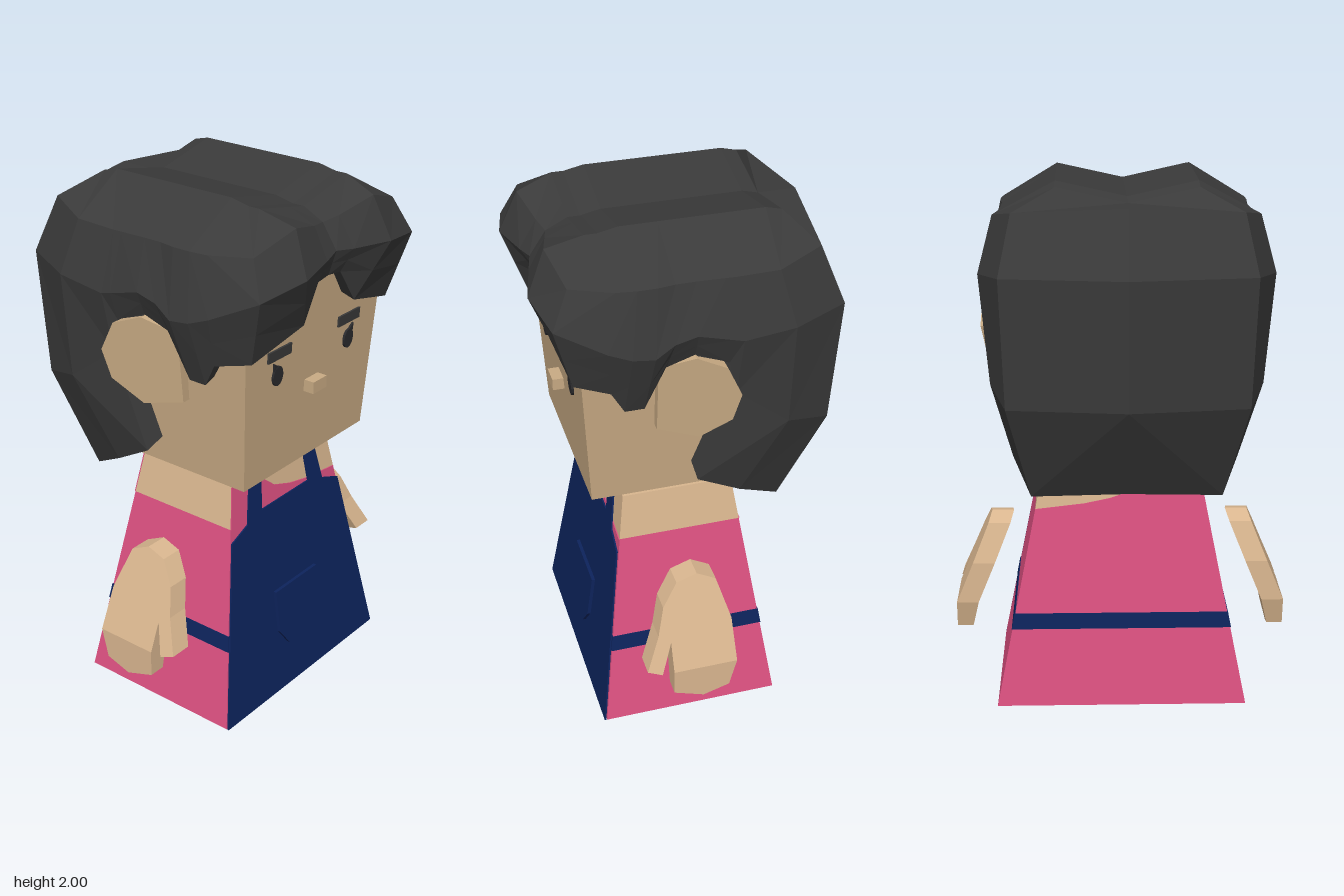
import * as THREE from 'three';

const mat = (name, color, side = THREE.FrontSide) => {
  const m = new THREE.MeshStandardMaterial({ color, flatShading: true, side });
  m.name = name;
  return m;
};
const lerp = THREE.MathUtils.lerp, clamp = THREE.MathUtils.clamp;

export function createModel() {
  const model = new THREE.Group();
  const faceSkin = mat('faceSkin', 0xc9ab84);
  const skin = mat('bodySkin', 0xd9b68f);
  const pink = mat('pinkDress', 0xdb5080);
  const navy = mat('navyApron', 0x0d235c);
  const hairMat = mat('darkHair', 0x3a3a3a, THREE.DoubleSide);
  const eyeMat = mat('eyeBlack', 0x2b2b2e);

  const add = (name, geo, material, parent = model) => {
    const mesh = new THREE.Mesh(geo, material);
    mesh.name = name;
    parent.add(mesh);
    return mesh;
  };
  const reshape = (geo, rule) => {
    const p = geo.attributes.position;
    for (let i = 0; i < p.count; i++) p.setXYZ(i, ...rule(p.getX(i), p.getY(i), p.getZ(i)));
    geo.computeVertexNormals();
    return geo;
  };
  const shapeOf = pts => new THREE.Shape(pts.map(p => new THREE.Vector2(...p)));
  const extrude = (shape, depth) =>
    new THREE.ExtrudeGeometry(shape, { depth, bevelEnabled: false, curveSegments: 6 });

  // Tapered cross-sections: half width, front z, back z at height y
  const bodyAt = y => ({ w: 0.475 - 0.2 * y, f: 0.39 - 0.137 * y, b: -0.29 + 0.147 * y });
  const headAt = y => ({ w: 0.36 + 0.067 * (y - 0.98), f: 0.39 + 0.058 * (y - 0.98), b: -0.28 });
  const taper = (at, y0, y1, grow = 0) =>
    reshape(new THREE.BoxGeometry(1, 1, 1), (x, y, z) => {
      const yy = y > 0 ? y1 : y0, s = at(yy);
      return [Math.sign(x) * (s.w + grow), yy, z > 0 ? s.f + grow : s.b - grow];
    });
  // Thin plates lying on the sloping front or back
  const frontPlate = (shape, at, off, depth) =>
    reshape(extrude(shape, depth), (x, y, z) => [x, y, at(y).f + off + z]);
  const backPlate = (shape, off, depth) =>
    reshape(extrude(shape, depth), (x, y, z) => [x, y, bodyAt(y).b - off - depth + z]);

  // Body and dress
  add('dress', taper(bodyAt, 0, 0.76), pink);
  add('shoulders', taper(bodyAt, 0.76, 0.93), skin);
  const neckline = shapeOf([[-0.323, 0.76], [-0.288, 0.94], [-0.13, 0.94], [-0.125, 0.89],
    [-0.05, 0.83], [0.04, 0.8], [0.14, 0.78], [0.323, 0.76]]);
  add('dressFrontShoulder', frontPlate(neckline, bodyAt, 0, 0.004), pink);
  add('dressBackShoulder', backPlate(neckline, 0, 0.004), pink);

  // Apron with straps, waistband and pocket
  const half = [[0.475, 0], [0.333, 0.71], [0.235, 0.745], [0.19, 0.95], [0.125, 0.95], [0.145, 0.77]];
  const apron = shapeOf([...half, ...half.map(([x, y]) => [-x, y]).reverse()]);
  add('apron', frontPlate(apron, bodyAt, 0.004, 0.006), navy);
  add('apronBand', taper(bodyAt, 0.3, 0.36, 0.003), navy);
  add('pocket', frontPlate(shapeOf([[-0.13, 0.42], [0.13, 0.42], [0.13, 0.25], [0.08, 0.18],
    [-0.08, 0.18], [-0.13, 0.25]]), bodyAt, 0.009, 0.014), navy);
  add('neckStrapBack', backPlate(shapeOf([[-0.19, 0.89], [0.19, 0.89], [0.19, 0.945], [-0.19, 0.945]]),
    0.005, 0.008), navy);
  for (const s of [1, -1]) {
    const strap = add('shoulderStrap', new THREE.BoxGeometry(0.065, 0.012, 0.42), navy);
    strap.position.set(s * 0.157, 0.937, 0.055);
  }

  // Side slabs: outline in (z, y), bent outward by a rule
  const slab = (pts, thick, out, s, narrow = () => 1) => {
    const g = extrude(shapeOf(pts), thick).rotateY(-Math.PI / 2);
    return reshape(g, (x, y, z) => [s * out(y, z) + (x + thick / 2) * narrow(y), y, z]);
  };

  // Arms with mitten hands
  const armPts = [[0.04, 0.68], [0.12, 0.66], [0.18, 0.58], [0.21, 0.48], [0.265, 0.36], [0.21, 0.34],
    [0.165, 0.45], [0.165, 0.34], [0.165, 0.24], [0.05, 0.2], [-0.05, 0.23], [-0.08, 0.34],
    [-0.075, 0.5], [-0.03, 0.65]];
  const armOut = y => y > 0.34 ? lerp(0.595, 0.455, (y - 0.34) / 0.34) : lerp(0.612, 0.595, (y - 0.2) / 0.14);
  const armNarrow = y => y < 0.34 ? lerp(0.65, 1, (y - 0.2) / 0.14) : 1;
  for (const s of [1, -1])
    add(s > 0 ? 'leftArm' : 'rightArm', slab(armPts, 0.085, armOut, s, armNarrow), skin);

  // Head, set slightly off the middle
  const head = new THREE.Group();
  head.name = 'head';
  head.position.x = -0.018;
  model.add(head);
  add('face', taper(headAt, 0.98, 1.8), faceSkin, head);
  add('nose', new THREE.BoxGeometry(0.08, 0.045, 0.06), faceSkin, head).position.set(0, 1.283, 0.42);
  const earPts = [[0.16, 1.28], [0.16, 1.49], [0.13, 1.56], [0.04, 1.595], [-0.06, 1.56], [-0.11, 1.45],
    [-0.085, 1.34], [0.02, 1.255]];
  for (const s of [1, -1]) {
    add('ear', slab(earPts, 0.06, (y, z) => 0.46 - 0.38 * z + 0.1 * (y - 1.45), s), faceSkin, head);
    const eye = new THREE.Shape();
    eye.absellipse(s * 0.2125, 1.385, 0.028, 0.038, 0, Math.PI * 2);
    add('eye', frontPlate(eye, headAt, 0, 0.009), eyeMat, head);
    add('eyelash', frontPlate(shapeOf([[s * 0.19, 1.405], [s * 0.235, 1.405], [s * 0.238, 1.44],
      [s * 0.218, 1.425]]), headAt, 0, 0.008), eyeMat, head);
    const [a, b] = [s * 0.1425, s * 0.2725];
    add('eyebrow', frontPlate(shapeOf([[a, 1.45], [b, 1.45], [b, 1.49], [a, 1.49]]), headAt, 0, 0.008),
      hairMat, head);
  }

  // Hair: columns from front centre round to back centre.
  // Each: shoulder height, widest point, hem point, optional point between
  const columns = [
    [1.89, [0, 1.8, 0.5], [0, 1.705, 0.47]],
    [1.9, [0.08, 1.79, 0.52], [0.065, 1.7, 0.475]],
    [1.94, [0.25, 1.78, 0.56], [0.15, 1.57, 0.48]],
    [1.88, [0.45, 1.75, 0.52], [0.4, 1.5, 0.45]],
    [1.87, [0.505, 1.67, 0.35], [0.45, 1.48, 0.33]],
    [1.87, [0.515, 1.64, 0.27], [0.435, 1.39, 0.28]],
    [1.87, [0.515, 1.63, 0.19], [0.435, 1.39, 0.21]],
    [1.87, [0.505, 1.67, 0.12], [0.46, 1.56, 0.14]],
    [1.87, [0.505, 1.69, 0.04], [0.47, 1.6, 0.04]],
    [1.87, [0.51, 1.66, -0.08], [0.47, 1.42, -0.11], [0.475, 1.55, -0.08]],
    [1.87, [0.512, 1.65, -0.12], [0.45, 1.06, 0.02], [0.47, 1.42, -0.11]],
    [1.88, [0.525, 1.68, -0.3], [0.42, 0.96, -0.15], [0.49, 1.28, -0.3]],
    [1.91, [0.445, 1.7, -0.5], [0.35, 0.86, -0.32], [0.43, 1.23, -0.47]],
    [1.93, [0, 1.7, -0.56], [0, 0.87, -0.33], [0, 1.23, -0.525]],
  ].map(([shoulderY, wide, hem, mid]) => {
    const [x, , z] = wide;
    const tx = Math.min(x, 0.25), tz = clamp(z * 0.9, -0.33, 0.36);
    const drop = Math.abs(tz) > 0.3 ? 0.015 : 0;
    return [
      [0, 1.945 - drop, tz],
      [tx, lerp(1.945, 2, tx / 0.25) - drop, tz],
      [x * 0.9, shoulderY, z > 0 ? z * 0.88 : z * 0.84],
      wide,
      mid ?? wide.map((v, i) => lerp(v, hem[i], 0.5)),
      hem,
      [Math.min(hem[0], 0.35), Math.max(hem[1] + 0.03, 1), clamp(hem[2], -0.27, 0.38)],
    ];
  });
  const verts = [];
  const tri = (a, b, c) => {
    verts.push(...a, ...b, ...c);
    for (const [x, y, z] of [a, c, b]) verts.push(-x, y, z);
  };
  for (let j = 0; j + 1 < columns.length; j++) {
    const p = columns[j], q = columns[j + 1];
    for (let i = 0; i + 1 < p.length; i++) {
      tri(p[i], p[i + 1], q[i]);
      tri(p[i + 1], q[i + 1], q[i]);
    }
  }
  const hair = new THREE.BufferGeometry();
  hair.setAttribute('position', new THREE.Float32BufferAttribute(verts, 3));
  hair.computeVertexNormals();
  add('hair', hair, hairMat, head);

  return model;
}
